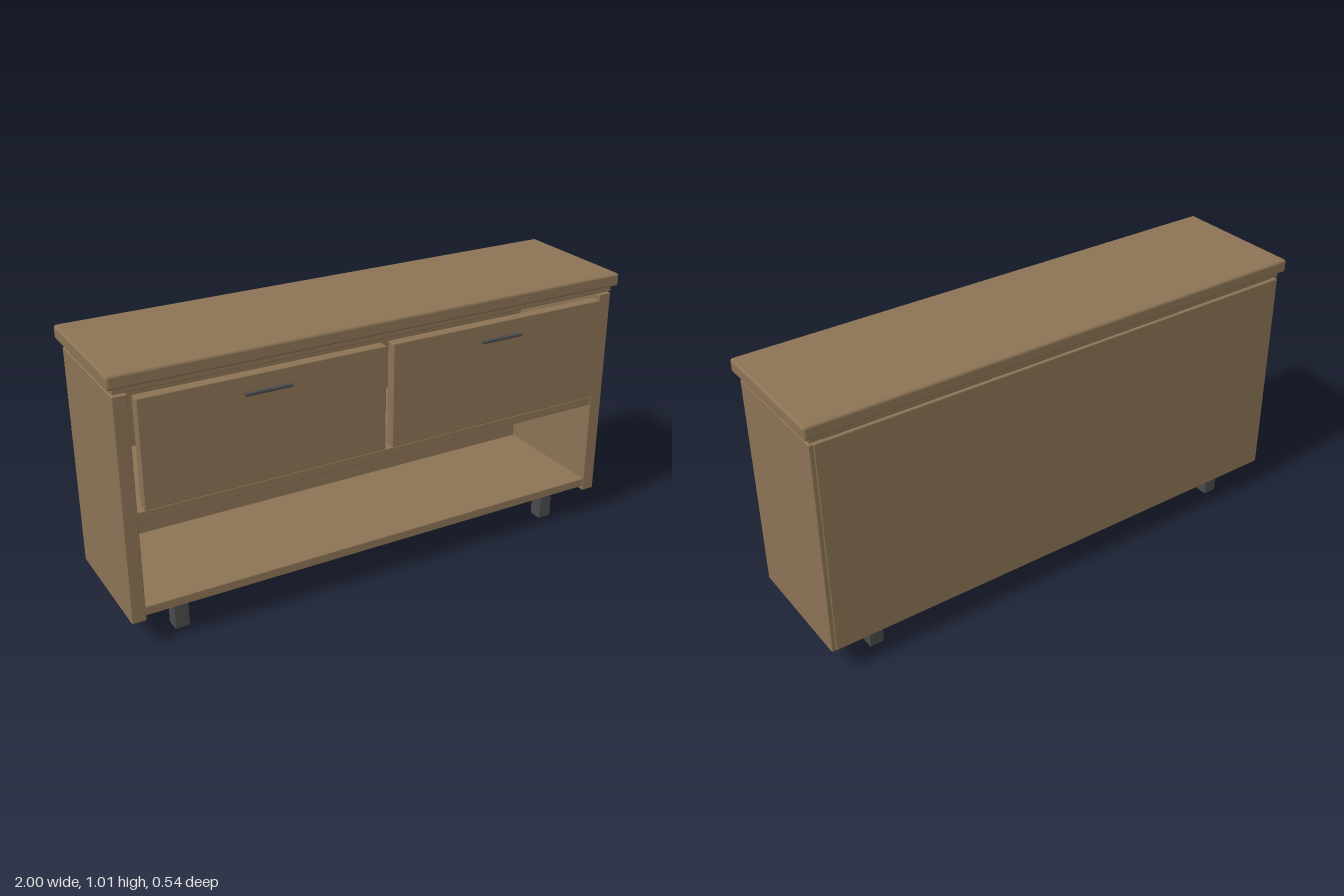
import * as THREE from 'three';
import { RoundedBoxGeometry } from 'three/addons/geometries/RoundedBoxGeometry.js';

export function createModel() {
  const model = new THREE.Group();
  model.name = 'sideboard';
  const wood = new THREE.MeshStandardMaterial({ color: 0x8b7355 });
  const dark = new THREE.MeshStandardMaterial({ color: 0x4a4a4a });

  // Softened board given by its extents on each axis
  function board(name, [x0, x1], [y0, y1], [z0, z1], radius = 0.004, material = wood) {
    const geometry = new RoundedBoxGeometry(x1 - x0, y1 - y0, z1 - z0, 3, radius);
    const mesh = new THREE.Mesh(geometry, material);
    mesh.position.set((x0 + x1) / 2, (y0 + y1) / 2, (z0 + z1) / 2);
    mesh.name = name;
    model.add(mesh);
  }
  // Extent around a centre
  const span = (centre, size) => [centre - size / 2, centre + size / 2];

  // Top slab and the narrower board beneath it
  board('topSlab', [-1, 1], [0.965, 1.015], [-0.268, 0.25], 0.01);
  board('topSupport', [-0.98, 0.98], [0.943, 0.967], [-0.25, 0.232]);

  // Shelves and back panel
  board('middleShelf', [-0.932, 0.932], [0.485, 0.52], [-0.24, 0.23]);
  board('bottomShelf', [-0.932, 0.932], [0.125, 0.16], [-0.24, 0.23]);
  board('backPanel', [-0.965, 0.965], [0.109, 0.937], [-0.253, -0.239]);

  for (const [side, s] of [['left', 1], ['right', -1]]) {
    board(side + 'SidePanel', span(s * 0.955, 0.052), [0.107, 0.937], [-0.25, 0.232]);

    // Drawer front with a slim bar handle
    board(side + 'DrawerFront', span(s * 0.463, 0.898), [0.533, 0.925], [0.215, 0.255]);
    board(side + 'Handle', span(s * 0.463, 0.172), span(0.863, 0.012), [0.255, 0.27], 0.004, dark);

    // Square legs
    for (const [end, z] of [['Front', 0.154], ['Back', -0.17]]) {
      board(side + end + 'Leg', span(s * 0.785, 0.056), [0, 0.13], span(z, 0.056), 0.005, dark);
    }
  }
  return model;
}
